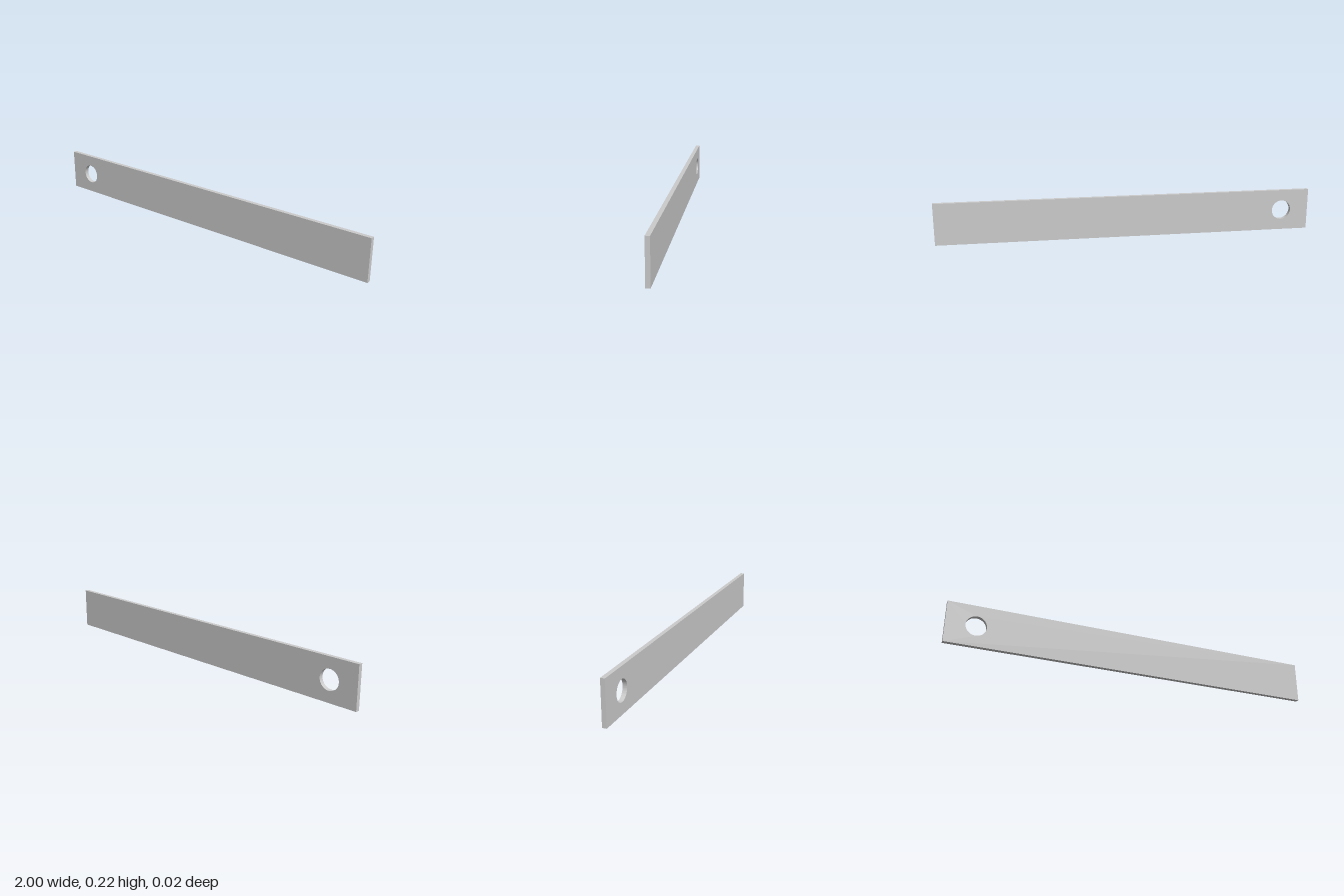
import * as THREE from 'three';
import { toCreasedNormals } from 'three/addons/utils/BufferGeometryUtils.js';

const LENGTH = 2, HEIGHT = 0.22, DEPTH = 0.022;
const HOLE_X = -0.85, HOLE_RADIUS = 0.052;

export function createModel() {
  const group = new THREE.Group();
  group.name = 'drilledBar';

  // Rectangular outline with one round hole near the right end
  const outline = new THREE.Shape([
    new THREE.Vector2(-LENGTH / 2, 0),
    new THREE.Vector2(LENGTH / 2, 0),
    new THREE.Vector2(LENGTH / 2, HEIGHT),
    new THREE.Vector2(-LENGTH / 2, HEIGHT),
  ]);
  const hole = new THREE.Path();
  hole.absarc(HOLE_X, HEIGHT / 2, HOLE_RADIUS, 0, Math.PI * 2, true);
  outline.holes.push(hole);

  // Flat bar, centred in depth, with a smooth bore and sharp edges
  const geometry = new THREE.ExtrudeGeometry(outline, {
    depth: DEPTH, bevelEnabled: false, curveSegments: 48,
  });
  geometry.translate(0, 0, -DEPTH / 2);

  const bar = new THREE.Mesh(
    toCreasedNormals(geometry, 0.5),
    new THREE.MeshStandardMaterial({ color: 0xcccccc }),
  );
  bar.name = 'bar';
  group.add(bar);
  return group;
}
